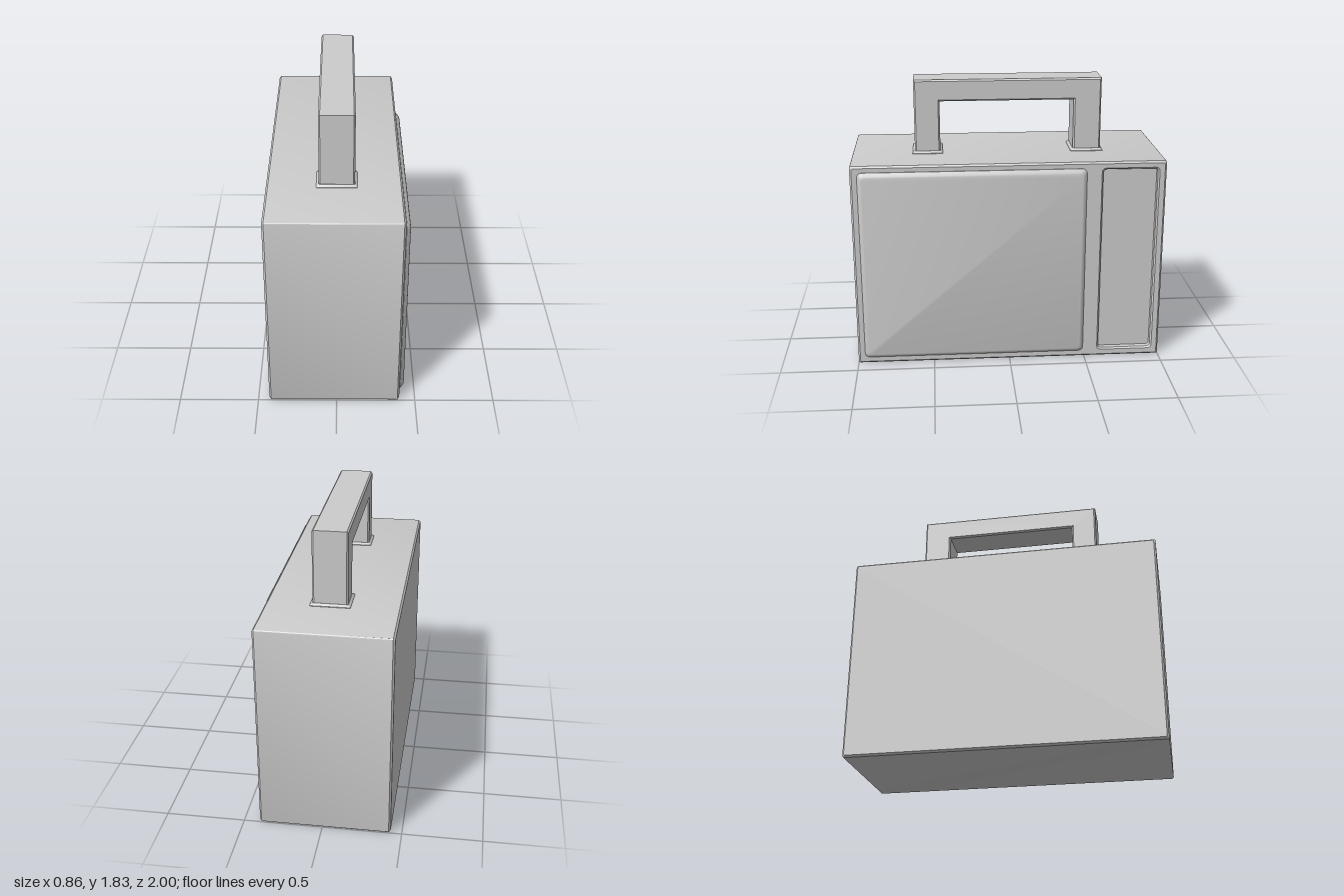
import * as THREE from 'three';
import { toCreasedNormals } from 'three/addons/utils/BufferGeometryUtils.js';

const grey = new THREE.MeshStandardMaterial({ color: 0xcccccc });
const CORNER = 3; // segments per rounded corner

// Closed skin through rounded rectangles [x0, x1, y0, y1, z, radius], capped at both ends.
function loft(rings) {
  const pos = [], idx = [], n = 4 * (CORNER + 1);
  for (const [x0, x1, y0, y1, z, r] of rings) {
    const centres = [[x1 - r, y1 - r], [x0 + r, y1 - r], [x0 + r, y0 + r], [x1 - r, y0 + r]];
    centres.forEach(([cx, cy], q) => {
      for (let i = 0; i <= CORNER; i++) {
        const a = (q + i / CORNER) * Math.PI / 2;
        pos.push(cx + r * Math.cos(a), cy + r * Math.sin(a), z);
      }
    });
  }
  for (let k = 0; k < rings.length - 1; k++) {
    for (let i = 0; i < n; i++) {
      const a = k * n + i, b = k * n + (i + 1) % n;
      idx.push(a, b, b + n, a, b + n, a + n);
    }
  }
  const last = (rings.length - 1) * n;
  for (let i = 1; i < n - 1; i++) {
    idx.push(0, i + 1, i, last, last + i, last + i + 1);
  }
  const g = new THREE.BufferGeometry();
  g.setAttribute('position', new THREE.Float32BufferAttribute(pos, 3));
  g.setIndex(idx);
  return toCreasedNormals(g, 0.5);
}

// Rectangle ring shrunk by an inset.
const ring = ([x0, x1, y0, y1], inset, z, r) =>
  [x0 + inset, x1 - inset, y0 + inset, y1 - inset, z, r];

export function createModel() {
  const model = new THREE.Group();
  const add = (name, geometry) => {
    const mesh = new THREE.Mesh(geometry, grey);
    mesh.name = name;
    model.add(mesh);
  };

  // Case: bevelled block whose right face steps down into a narrow recess
  const block = [-1, 1, 0, 1.35];
  const recess = [0.585, 0.955, 0.045, 1.31];
  add('case', loft([
    ring(block, 0.012, -0.43, 0.01),
    ring(block, 0, -0.418, 0.012),
    ring(block, 0, 0.388, 0.012),
    ring(block, 0.012, 0.4, 0.01),
    ring(recess, 0, 0.4, 0.025),
    ring(recess, 0.01, 0.39, 0.02),
    ring(recess, 0.012, 0.36, 0.018),
  ]).rotateY(Math.PI / 2));

  // Large raised side panel with a soft sloping rim
  const panel = [-0.955, 0.49, 0.045, 1.31];
  add('sidePanel', loft([
    ring(panel, 0, 0.38, 0.03),
    ring(panel, 0, 0.405, 0.03),
    ring(panel, 0.01, 0.418, 0.028),
    ring(panel, 0.02, 0.427, 0.024),
    ring(panel, 0.03, 0.43, 0.02),
  ]).rotateY(Math.PI / 2));

  // Square-cornered carrying handle
  const bevel = 0.01;
  const arch = new THREE.Shape([
    [-0.595, 1.32], [-0.43, 1.32], [-0.43, 1.69], [0.435, 1.69],
    [0.435, 1.32], [0.615, 1.32], [0.615, 1.83], [-0.595, 1.83],
  ].map(([x, y]) => new THREE.Vector2(x, y)));
  const handle = new THREE.ExtrudeGeometry(arch, {
    depth: 0.22 - 2 * bevel, bevelEnabled: true, bevelSegments: 1,
    bevelSize: bevel, bevelThickness: bevel, bevelOffset: -bevel,
  });
  handle.translate(0, 0, -0.11 + bevel).rotateY(Math.PI / 2);
  add('handle', handle);

  // Flared collars where the handle meets the case
  const collars = { frontCollar: [-0.125, 0.125, -0.61, -0.415], backCollar: [-0.125, 0.125, 0.42, 0.63] };
  for (const [name, rect] of Object.entries(collars)) {
    add(name, loft([
      ring(rect, 0, 1.34, 0.006),
      ring(rect, 0, 1.354, 0.006),
      ring(rect, 0.014, 1.367, 0.005),
    ]).rotateX(-Math.PI / 2));
  }

  return model;
}
